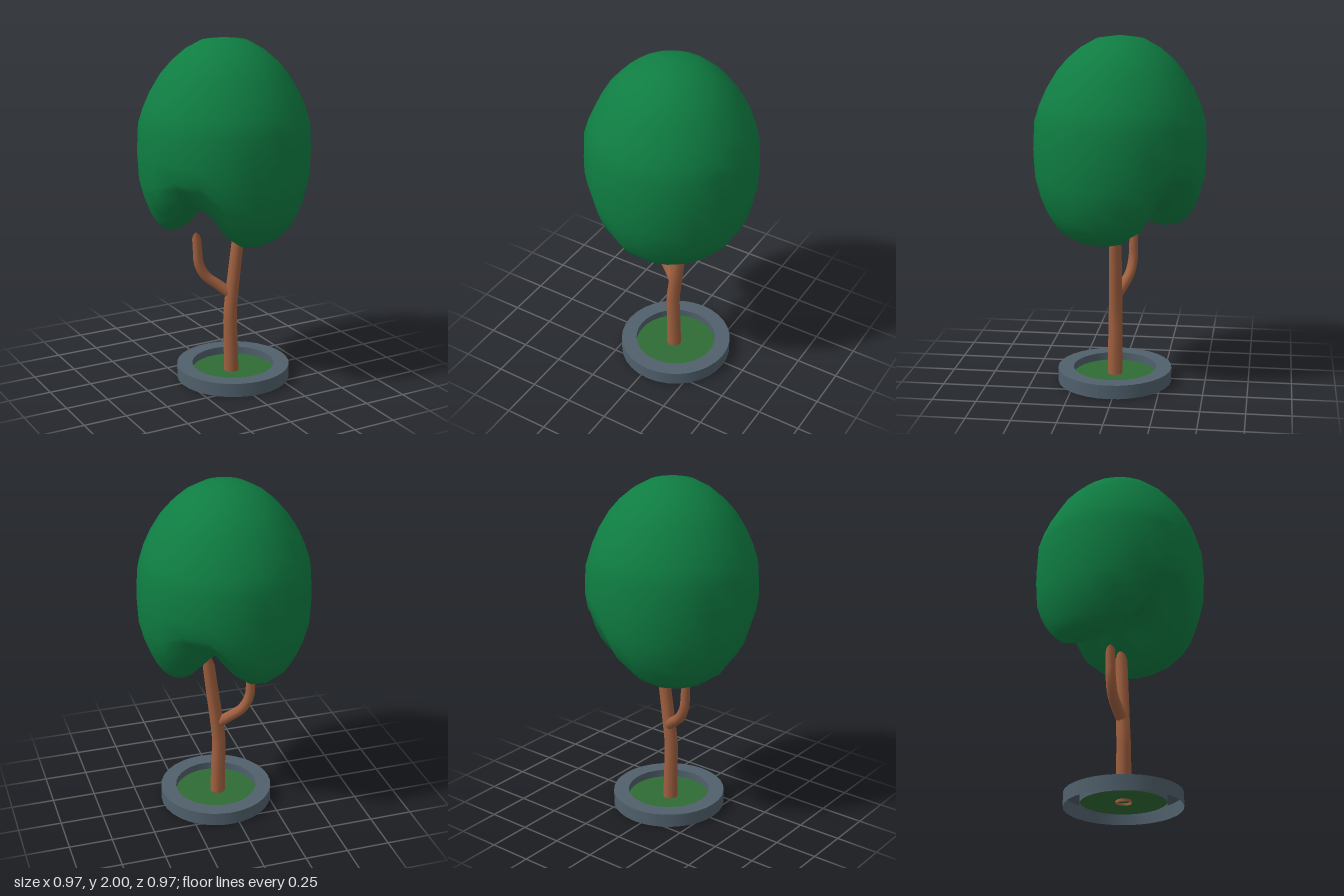
import * as THREE from 'three';
import { mergeVertices } from 'three/addons/utils/BufferGeometryUtils.js';

const material = (color, side = THREE.FrontSide) => new THREE.MeshStandardMaterial({ color, side });
const bark = material(0xa0603f, THREE.DoubleSide);
const leaf = material(0x0f7d42);
const stone = material(0x50606c, THREE.DoubleSide);
const grass = material(0x2f6c34, THREE.DoubleSide);

function part(name, geometry, mat) {
  const mesh = new THREE.Mesh(geometry, mat);
  mesh.name = name;
  return mesh;
}

// Tapered round limb along a smooth path, with a rounded tip
function limb(name, points, r0, r1) {
  const rings = 24, sides = 10;
  const curve = new THREE.CatmullRomCurve3(points.map(p => new THREE.Vector3(...p)));
  const geo = new THREE.TubeGeometry(curve, rings, 1, sides);
  const pos = geo.attributes.position;
  const v = new THREE.Vector3();
  for (let i = 0; i < pos.count; i++) {
    const u = Math.floor(i / (sides + 1)) / rings;
    const centre = curve.getPointAt(u);
    const tip = Math.sqrt(Math.min(1, (1 - u) / 0.08));
    v.fromBufferAttribute(pos, i).sub(centre);
    v.multiplyScalar((r0 + (r1 - r0) * u) * tip).add(centre);
    pos.setXYZ(i, v.x, v.y, v.z);
  }
  return part(name, geo, bark);
}

// Egg-shaped crown with a diagonal groove arching across its underside
function crown() {
  const profile = [
    [0, 0.83], [0.11, 0.83], [0.22, 0.832], [0.28, 0.85], [0.335, 0.885], [0.38, 0.935],
    [0.42, 1.0], [0.455, 1.09], [0.483, 1.2], [0.491, 1.36], [0.483, 1.52], [0.455, 1.61],
    [0.415, 1.7], [0.355, 1.8], [0.295, 1.87], [0.225, 1.93], [0.135, 1.98], [0, 2],
  ].map(p => new THREE.Vector2(...p));
  let geo = new THREE.LatheGeometry(profile, 20, Math.PI / 20);
  geo.deleteAttribute('uv');
  geo.deleteAttribute('normal');
  geo = mergeVertices(geo, 1e-4);
  const pos = geo.attributes.position;
  for (let i = 0; i < pos.count; i++) {
    const x = pos.getX(i), y = pos.getY(i), z = pos.getZ(i);
    const across = (x + z) / Math.SQRT2 + 0.07;
    const fade = 1 - THREE.MathUtils.smoothstep(y, 0.9, 1.4);
    const groove = Math.exp(-((across / 0.15) ** 2)) * fade;
    const pull = 1 - 0.06 * groove;
    pos.setXYZ(i, x * pull, y + 0.24 * groove, z * pull);
  }
  geo.computeVertexNormals();
  return part('crown', geo, leaf);
}

// Stone edging, open underneath, with sharp corners
function planter() {
  const group = new THREE.Group();
  group.name = 'planter';
  const outer = 0.33, inner = 0.24, top = 0.08, soil = 0.035, sides = 32;
  const wall = (name, r, y0, y1) => {
    const mesh = part(name, new THREE.CylinderGeometry(r, r, y1 - y0, sides, 1, true), stone);
    mesh.position.y = (y0 + y1) / 2;
    return mesh;
  };
  const flat = (name, geo, y, mat) => {
    const mesh = part(name, geo.rotateX(-Math.PI / 2), mat);
    mesh.position.y = y;
    return mesh;
  };
  group.add(
    wall('outerWall', outer, 0, top),
    wall('innerWall', inner, 0.02, top),
    flat('rim', new THREE.RingGeometry(inner, outer, sides), top, stone),
    flat('grass', new THREE.CircleGeometry(inner, sides), soil, grass),
  );
  group.position.set(0.045, 0, 0.025);
  return group;
}

export function createModel() {
  const tree = new THREE.Group();
  tree.name = 'tree';
  tree.add(
    planter(),
    limb('trunk', [[0.034, 0.02, 0.025], [0.03, 0.2, 0.025], [0.026, 0.38, 0.024],
      [0.034, 0.47, 0.022], [0.058, 0.66, 0.02], [0.08, 0.83, 0.018], [0.096, 0.97, 0.016]], 0.044, 0.034),
    limb('branch', [[0.03, 0.51, 0.015], [-0.03, 0.56, -0.02], [-0.095, 0.615, -0.048],
      [-0.133, 0.69, -0.06], [-0.142, 0.78, -0.062], [-0.148, 0.885, -0.064]], 0.033, 0.025),
    crown(),
  );
  return tree;
}
